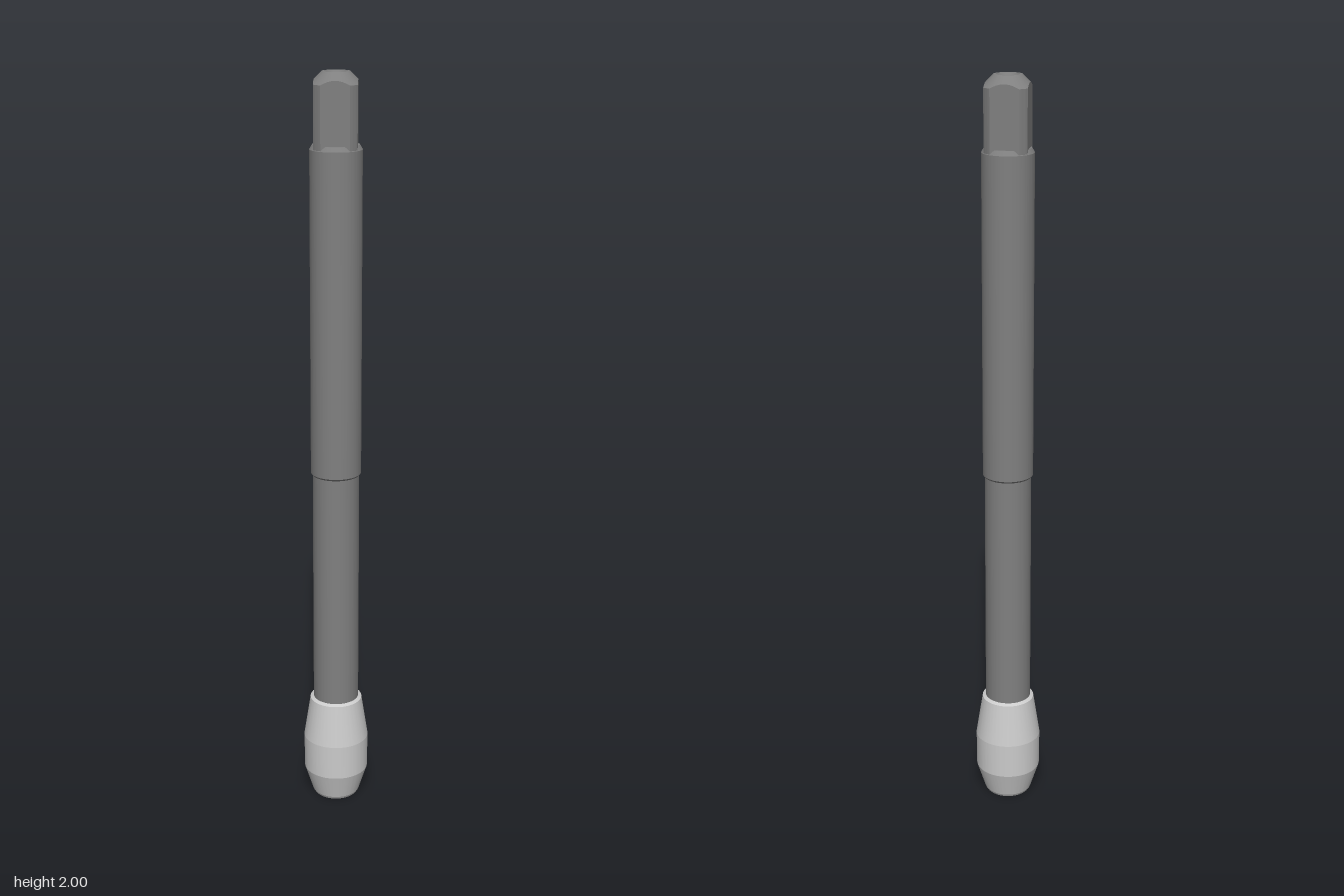
import * as THREE from 'three';
import { toCreasedNormals } from 'three/addons/utils/BufferGeometryUtils.js';

const CREASE = 0.08;

// Solid of revolution from [radius, height] pairs, listed bottom to top
function turned(name, profile, material) {
  const lathe = new THREE.LatheGeometry(profile.map(([r, y]) => new THREE.Vector2(r, y)), 96);
  const mesh = new THREE.Mesh(toCreasedNormals(lathe, CREASE), material);
  mesh.name = name;
  return mesh;
}

// Square drive with rounded corners, a conical top chamfer and a centre hole
function squareDrive(material) {
  const half = 0.055, round = 0.066, tip = 0.036, slope = 1;
  const edge = Math.acos(half / round);
  const angles = [];
  for (let q = 0; q < 4; q++) {
    const mid = q * Math.PI / 2;
    for (let i = 0; i < 10; i++) angles.push(mid - edge + 2 * edge * i / 10);
    for (let i = 0; i < 8; i++) angles.push(mid + edge + (Math.PI / 2 - 2 * edge) * i / 8);
  }
  const n = angles.length;
  const section = a => Math.min(round, half / Math.max(Math.abs(Math.cos(a)), Math.abs(Math.sin(a))));
  // each row gives [radius, height] at an angle
  const rows = [
    a => [section(a), 1.81],
    a => [section(a), 2 - (section(a) - tip) * slope],
    () => [tip, 2],
    () => [0.029, 2],
    () => [0.018, 1.98],
    () => [0, 1.965],
  ];
  const positions = [], index = [];
  rows.forEach((row, j) => angles.forEach((a, i) => {
    const [r, y] = row(a);
    positions.push(r * Math.sin(a), y, r * Math.cos(a));
    if (j === rows.length - 1) return;
    const p = j * n + i, q = j * n + (i + 1) % n;
    index.push(p, q, p + n);
    if (j < rows.length - 2) index.push(q, q + n, p + n);
  }));
  const geometry = new THREE.BufferGeometry();
  geometry.setAttribute('position', new THREE.Float32BufferAttribute(positions, 3));
  geometry.setIndex(index);
  const mesh = new THREE.Mesh(toCreasedNormals(geometry, 0.1), material);
  mesh.name = 'squareDrive';
  return mesh;
}

export function createModel() {
  const dark = new THREE.MeshStandardMaterial({ color: 0x808080 });
  const light = new THREE.MeshStandardMaterial({ color: 0xcccccc });
  const group = new THREE.Group();
  group.name = 'formingTap';

  // Barrel-shaped working head with a centre hole underneath
  group.add(turned('workingHead', [
    [0, 0.035], [0.016, 0.02], [0.026, 0], [0.06, 0], [0.065, 0.008],
    [0.088, 0.08], [0.089, 0.177], [0.071, 0.294], [0.06, 0.3],
  ], light));

  // Slim neck, then the thicker shank with chamfered ends
  group.add(turned('neck', [[0.062, 0.29], [0.062, 0.96]], dark));
  group.add(turned('shank', [
    [0.06, 0.953], [0.063, 0.953], [0.067, 0.958], [0.067, 1.81], [0.06, 1.822], [0, 1.822],
  ], dark));

  group.add(squareDrive(dark));
  return group;
}
